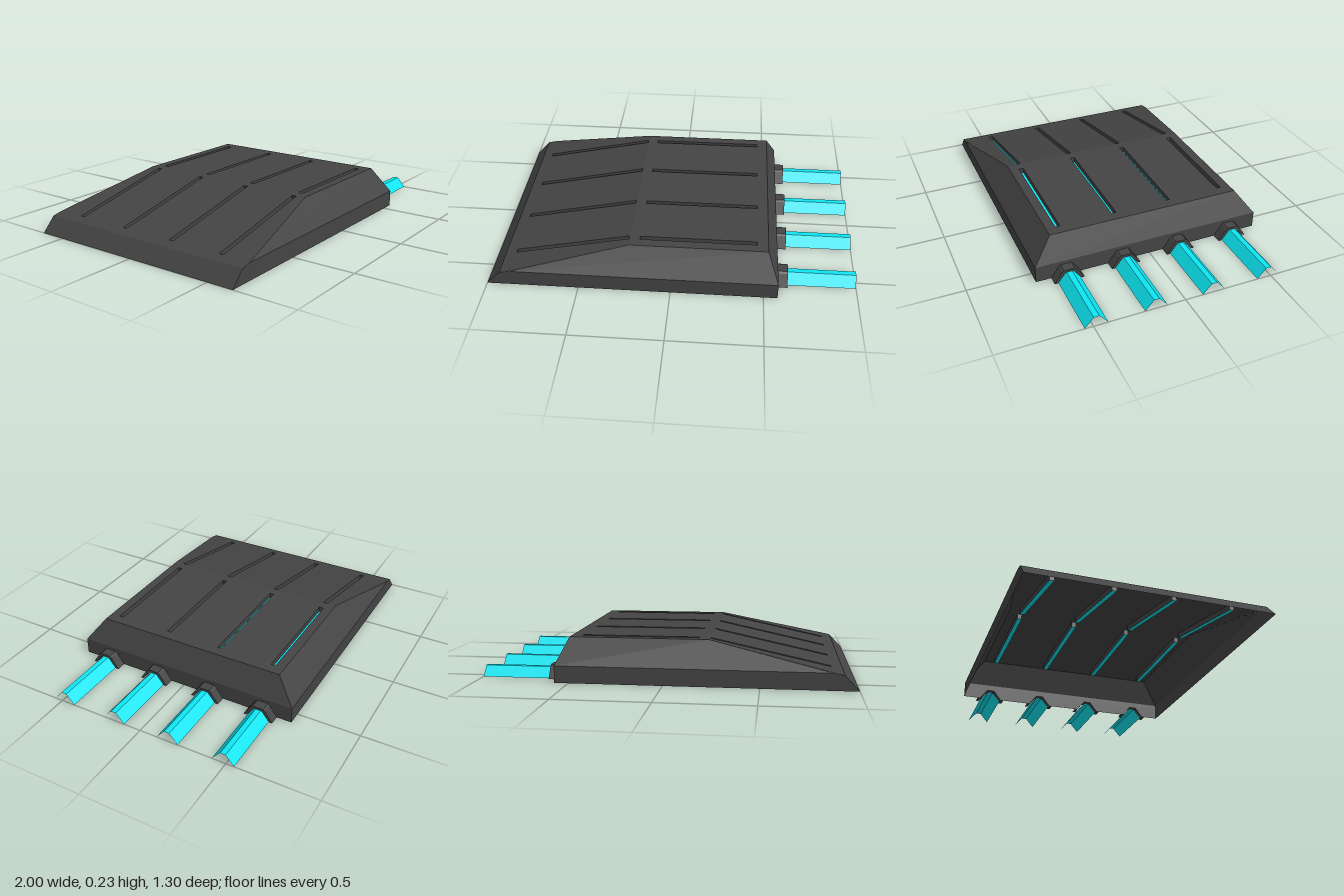
import * as THREE from 'three';

const dark = new THREE.MeshStandardMaterial({ color: 0x444444, flatShading: true, side: THREE.DoubleSide });
const cyan = new THREE.MeshStandardMaterial({ color: 0x0ce6f2, flatShading: true, side: THREE.DoubleSide });

// Deck height: sloping front half, level rear half
const NOSE = -0.925, FOLD = -0.23, CREASE = -0.87, TAIL = 0.575, DECK_END = 0.515;
const W = 0.65, TOP_W = 0.545, TOP = 0.23, SIDE = 0.091;
const roof = x => x > FOLD ? TOP : 0.08 + (x - NOSE) * (TOP - 0.08) / (FOLD - NOSE);

function mesh(name, geometry, material) {
  const m = new THREE.Mesh(geometry, material);
  m.name = name;
  return m;
}

// Flat polygons, each a counter-clockwise convex loop of [x, y, z]
function facets(name, polygons, material) {
  const pos = [];
  for (const p of polygons)
    for (let i = 1; i < p.length - 1; i++) pos.push(...p[0], ...p[i], ...p[i + 1]);
  const g = new THREE.BufferGeometry();
  g.setAttribute('position', new THREE.Float32BufferAttribute(pos, 3));
  g.computeVertexNormals();
  return mesh(name, g, material);
}

const shapeOf = pts => new THREE.Shape(pts.map(p => new THREE.Vector2(...p)));
const mirrorZ = poly => poly.map(([x, y, z]) => [x, y, -z]).reverse();

// Deck panel with slots, drawn in plan and lifted onto the roof line
function deckPanel(name, outline, x0, x1, lanes, half) {
  const shape = shapeOf(outline);
  for (const z of lanes)
    shape.holes.push(new THREE.Path([[x0, z - half], [x0, z + half], [x1, z + half], [x1, z - half]]
      .map(p => new THREE.Vector2(...p))));
  const g = new THREE.ShapeGeometry(shape).rotateX(-Math.PI / 2);
  const p = g.attributes.position;
  for (let i = 0; i < p.count; i++) p.setY(i, roof(p.getX(i)));
  g.computeVertexNormals();
  return mesh(name, g, dark);
}

// Recessed groove with a glowing floor
function groove(x0, x1, z, half, depth) {
  const group = new THREE.Group();
  group.name = 'lightGroove';
  const c = [[x0, z + half], [x1, z + half], [x1, z - half], [x0, z - half]];
  const up = ([x, zz]) => [x, roof(x), zz];
  const down = ([x, zz]) => [x, roof(x) - depth, zz];
  const walls = c.map((a, i) => {
    const b = c[(i + 1) % 4];
    return [up(a), up(b), down(b), down(a)];
  });
  group.add(facets('grooveWalls', walls, dark), facets('lightStrip', [c.map(down)], cyan));
  return group;
}

export function createModel() {
  const model = new THREE.Group();
  model.name = 'wedgeVehicleRamp';
  const slotLanes = [-0.48, -0.16, 0.16, 0.48];
  const tubeLanes = [-0.483, -0.162, 0.162, 0.483];
  const half = 0.0125;

  // Hull sides with tapered shoulders
  const side = [[-1, 0, W], [TAIL, 0, W], [TAIL, SIDE, W], [CREASE, SIDE, W], [NOSE, 0.08, W]];
  const shoulder = [[CREASE, SIDE, W], [TAIL, SIDE, W], [DECK_END, TOP, TOP_W], [FOLD, TOP, TOP_W]];
  model.add(facets('hullSides', [side, mirrorZ(side)], dark));
  model.add(facets('shoulders', [shoulder, mirrorZ(shoulder)], dark));

  // Nose bevel and sloped upper rear
  model.add(facets('nose', [[[-1, 0, -W], [-1, 0, W], [NOSE, 0.08, W], [NOSE, 0.08, -W]]], dark));
  model.add(facets('upperRear', [[[TAIL, SIDE, W], [TAIL, SIDE, -W], [DECK_END, TOP, -TOP_W], [DECK_END, TOP, TOP_W]]], dark));

  // Slotted decks
  const slots = [[-0.865, -0.235], [-0.175, 0.455]];
  model.add(deckPanel('slopedDeck',
    [[NOSE, -W], [CREASE, -W], [FOLD, -TOP_W], [FOLD, TOP_W], [CREASE, W], [NOSE, W]], ...slots[0], slotLanes, half));
  model.add(deckPanel('levelDeck',
    [[FOLD, -TOP_W], [DECK_END, -TOP_W], [DECK_END, TOP_W], [FOLD, TOP_W]], ...slots[1], slotLanes, half));
  for (const [x0, x1] of slots)
    for (const z of slotLanes) model.add(groove(x0, x1, z, half, 0.03));

  // Rear wall with a notch for each channel
  const inner = [[-0.066, 0], [-0.021, 0.058], [0.021, 0.058], [0.066, 0]];
  const wall = [[-W, 0]];
  for (const z of tubeLanes) wall.push(...inner.map(([u, y]) => [z + u, y]));
  wall.push([W, 0], [W, SIDE], [-W, SIDE]);
  const wallGeometry = new THREE.ShapeGeometry(shapeOf(wall)).rotateY(Math.PI / 2).translate(TAIL, 0, 0);
  model.add(mesh('rearWall', wallGeometry, dark));

  // Collars and open cyan channels
  const outer = [[0.083, 0], [0.041, 0.062], [0.03, 0.071], [-0.03, 0.071], [-0.041, 0.062], [-0.083, 0]];
  const channel = [[0.062, 0], [0.015, 0.055], [-0.015, 0.055], [-0.062, 0]];
  for (const z of tubeLanes) {
    const collar = new THREE.ExtrudeGeometry(shapeOf([...outer, ...inner]), { depth: 0.055, bevelEnabled: false });
    collar.rotateY(Math.PI / 2).translate(TAIL, 0, z);
    model.add(mesh('collar', collar, dark));
    const strips = [0, 1, 2].map(i => {
      const [a, ay] = channel[i], [b, by] = channel[i + 1];
      return [[0.6, ay, z + a], [1, ay, z + a], [1, by, z + b], [0.6, by, z + b]];
    });
    model.add(facets('exhaustChannel', strips, cyan));
  }
  return model;
}
